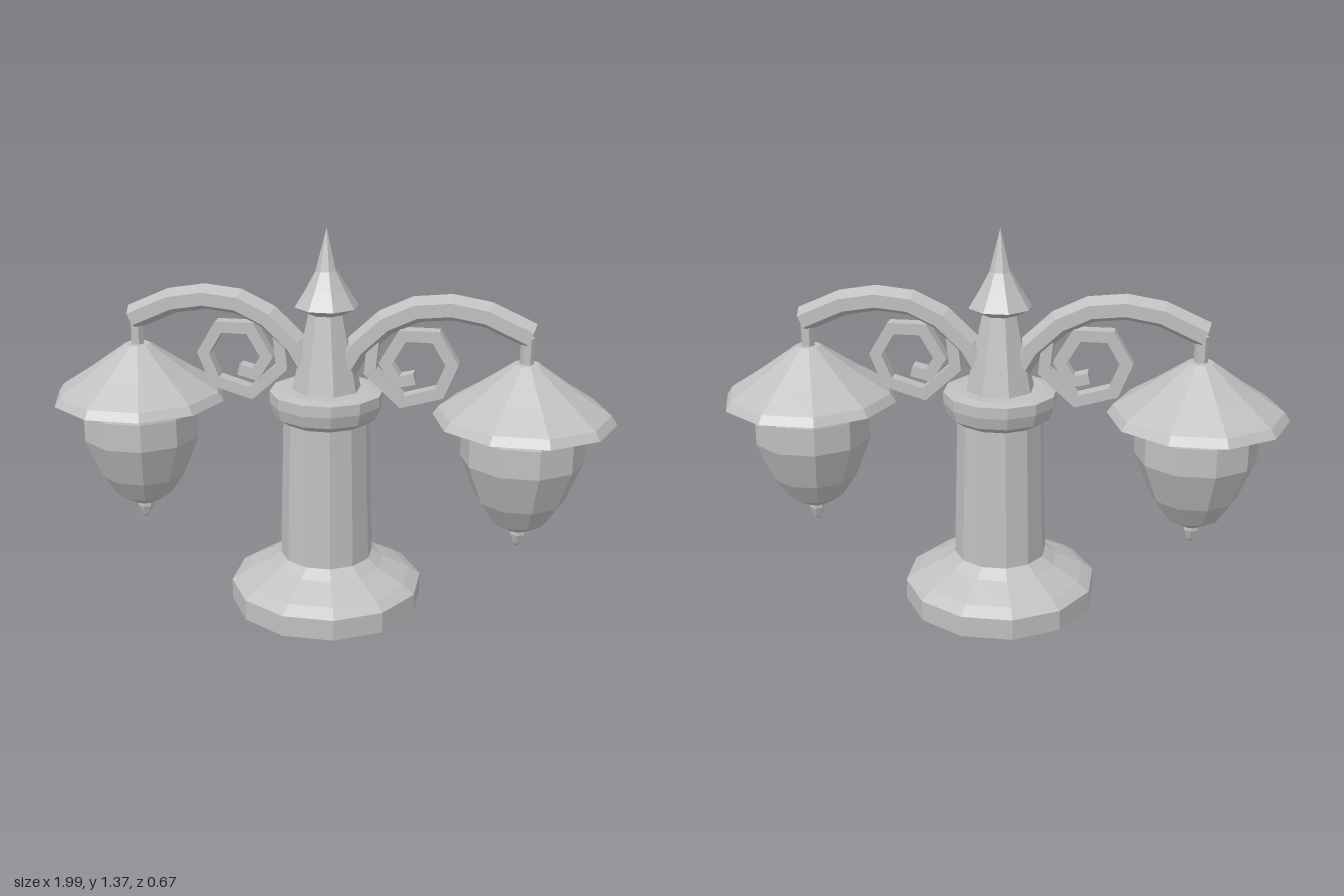
import * as THREE from 'three';

const stone = new THREE.MeshStandardMaterial({ color: 0xc0c0c0, flatShading: true });
stone.name = 'plain grey';

function part(name, geometry) {
  const mesh = new THREE.Mesh(geometry, stone);
  mesh.name = name;
  return mesh;
}

// Faceted turned part; profile runs bottom to top as [radius, y]
function turned(name, profile, sides, turn) {
  const pts = profile.map(([r, y]) => new THREE.Vector2(r, y));
  return part(name, new THREE.LatheGeometry(pts, sides, turn));
}

// Sweeps a section [in-plane, z] along a path [x, y] with mitred corners
function sweep(name, path, section) {
  const pts = path.map(([x, y]) => new THREE.Vector2(x, y));
  const n = section.length, last = pts.length - 1;
  const pos = [], index = [];
  pts.forEach((p, i) => {
    const before = p.clone().sub(pts[Math.max(i - 1, 0)]).normalize();
    const after = pts[Math.min(i + 1, last)].clone().sub(p).normalize();
    const t = before.clone().add(after).normalize();
    const miter = 1 / t.dot(i < last ? after : before);
    for (const [u, z] of section) pos.push(p.x - t.y * u * miter, p.y + t.x * u * miter, z);
  });
  for (let i = 0; i < last; i++) {
    for (let j = 0; j < n; j++) {
      const a = i * n + j, c = i * n + (j + 1) % n;
      index.push(a, c, a + n, c, c + n, a + n);
    }
  }
  for (let j = 1; j < n - 1; j++) {
    index.push(0, j + 1, j, last * n, last * n + j, last * n + j + 1);
  }
  const g = new THREE.BufferGeometry();
  g.setAttribute('position', new THREE.Float32BufferAttribute(pos, 3));
  g.setIndex(index);
  g.computeVertexNormals();
  return part(name, g);
}

// Regular section, scaled in the plane and in z
function ring(sides, u, z, turn = 0) {
  return Array.from({ length: sides }, (_, i) => {
    const a = turn + (i / sides) * Math.PI * 2;
    return [u * Math.cos(a), z * Math.sin(a)];
  });
}

// One arm with its scroll and hanging lantern, reaching towards +x
function createBranch() {
  const branch = new THREE.Group();
  branch.add(sweep('arm', [
    [0.04, 0.84], [0.11, 0.96], [0.205, 1.05], [0.31, 1.1],
    [0.43, 1.112], [0.55, 1.092], [0.695, 1.027],
  ], ring(6, 0.045, 0.056)));
  branch.add(sweep('scroll', [
    [0.17, 1.03], [0.155, 0.877], [0.267, 0.775], [0.396, 0.813], [0.437, 0.914],
    [0.38, 1.01], [0.267, 1.01], [0.209, 0.91], [0.25, 0.845], [0.31, 0.86],
  ], ring(4, 0.028, 0.036, Math.PI / 4)));

  const lantern = new THREE.Group();
  lantern.name = 'lantern';
  lantern.position.x = 0.685;
  const turn = Math.PI / 10;
  lantern.add(
    turned('hangingRod', [[0, 0.9], [0.024, 0.9], [0.024, 1.02], [0, 1.02]], 6, Math.PI / 6),
    turned('shade', [
      [0, 0.79], [0.19, 0.79], [0.295, 0.735], [0.312, 0.733],
      [0.292, 0.763], [0.18, 0.835], [0.045, 0.93], [0, 0.93],
    ], 10, turn),
    turned('lampGlass', [
      [0, 0.325], [0.035, 0.325], [0.1, 0.363], [0.155, 0.445],
      [0.212, 0.59], [0.212, 0.69], [0.2, 0.735], [0.19, 0.8], [0, 0.8],
    ], 10, turn),
    turned('lanternTip', [[0, 0.26], [0.014, 0.272], [0.028, 0.308], [0.026, 0.335], [0, 0.335]], 6, 0),
  );
  branch.add(lantern);
  return branch;
}

export function createModel() {
  const model = new THREE.Group();
  model.name = 'twinLampPost';
  const twelfth = Math.PI / 12, eighth = Math.PI / 8;

  // Central post
  model.add(
    turned('base', [
      [0, 0], [0.346, 0], [0.346, 0.076], [0.305, 0.104],
      [0.207, 0.153], [0.166, 0.183], [0, 0.183],
    ], 12, twelfth),
    turned('shaft', [[0.166, 0.18], [0.152, 0.7]], 12, twelfth),
    turned('collar', [
      [0, 0.69], [0.15, 0.69], [0.188, 0.716], [0.2, 0.758], [0.2, 0.797], [0.16, 0.805], [0, 0.805],
    ], 12, twelfth),
    turned('neck', [[0.125, 0.79], [0.06, 1.09]], 8, eighth),
    turned('finial', [
      [0, 1.07], [0.06, 1.07], [0.112, 1.097], [0.075, 1.155], [0.038, 1.22], [0, 1.366],
    ], 8, eighth),
  );

  // Matching branches on both sides
  ['leftBranch', 'rightBranch'].forEach((name, i) => {
    const branch = createBranch();
    branch.name = name;
    branch.rotation.y = i * Math.PI;
    model.add(branch);
  });
  return model;
}
